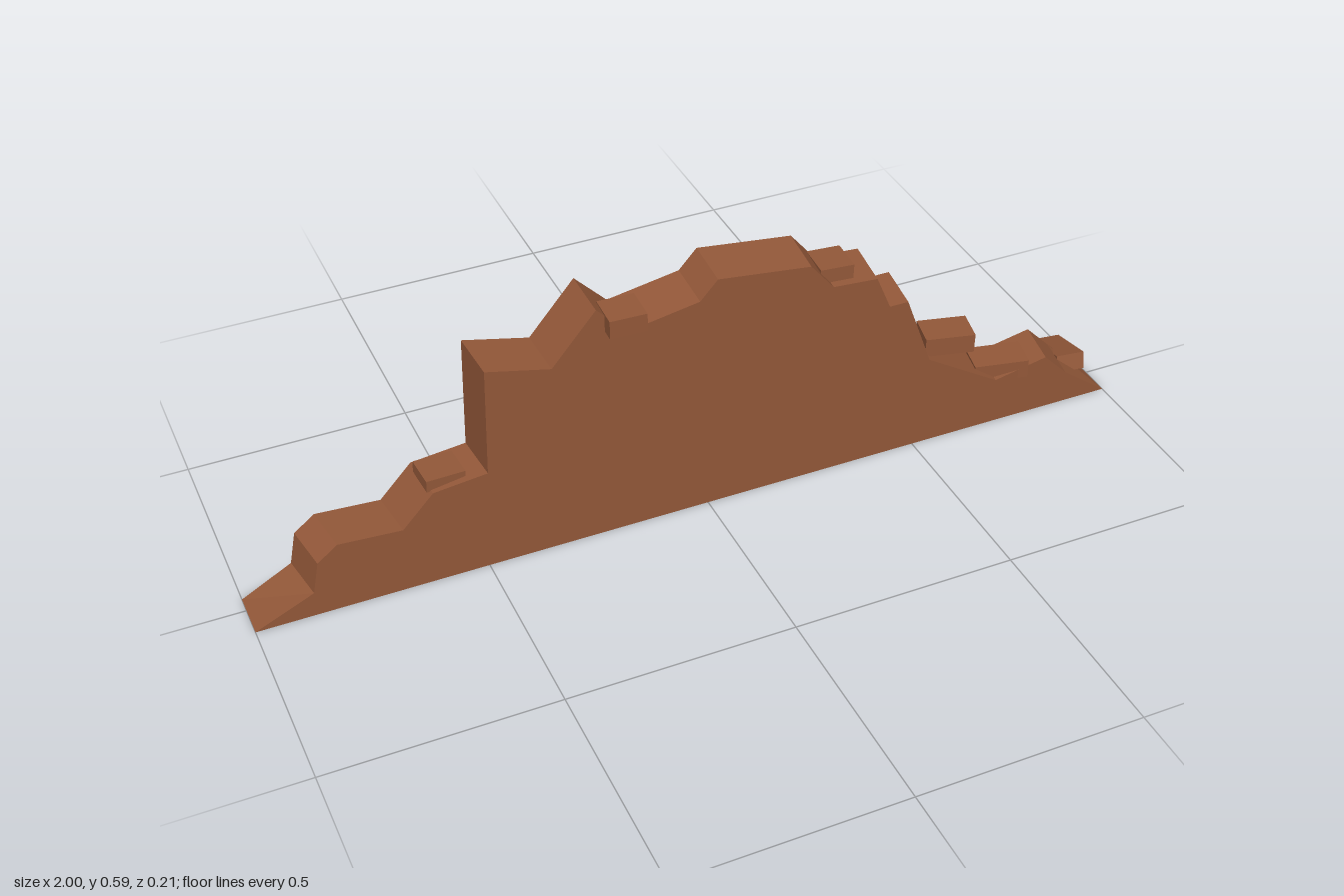
import * as THREE from 'three';

export function createModel() {
  const group = new THREE.Group();
  const clay = new THREE.MeshStandardMaterial({ color: 0x935839 });
  clay.name = 'clay brown';

  // Ragged outline of the broken wall, at its back face
  const outline = [
    [-1, 0], [-0.89, 0.06], [-0.875, 0.135], [-0.83, 0.17], [-0.69, 0.16], [-0.62, 0.235],
    [-0.50, 0.248], [-0.493, 0.505], [-0.35, 0.47], [-0.25, 0.587], [-0.18, 0.515],
    [-0.02, 0.543], [0.02, 0.587], [0.235, 0.56], [0.29, 0.493], [0.395, 0.485],
    [0.43, 0.403], [0.475, 0.403], [0.54, 0.228], [0.72, 0.117], [0.85, 0.143],
    [0.91, 0.082], [1, 0],
  ];
  const shape = new THREE.Shape(outline.map(([x, y]) => new THREE.Vector2(x, y)));
  const wallGeo = new THREE.ExtrudeGeometry(shape, { depth: 0.107, bevelEnabled: false });
  wallGeo.translate(0, 0, -0.037);

  // The front outline is slightly smaller, so the broken edge slopes forward
  const pos = wallGeo.attributes.position;
  for (let i = 0; i < pos.count; i++) {
    if (pos.getZ(i) > 0 && pos.getY(i) > 0.001) {
      pos.setXY(i, pos.getX(i) * 0.98, pos.getY(i) * 0.98);
    }
  }
  wallGeo.computeVertexNormals();
  const wall = new THREE.Mesh(wallGeo, clay);
  wall.name = 'brokenWall';
  group.add(wall);

  // Loose bricks: size, centre, rotation
  const bricks = [
    [[0.085, 0.027, 0.075], [-0.577, 0.24, 0.02], [0, 0.06, -0.03]],
    [[0.08, 0.042, 0.078], [-0.187, 0.54, 0.063], [0, -0.04, 0]],
    [[0.075, 0.033, 0.078], [0.3, 0.504, 0.019], [0, -0.06, -0.03]],
    [[0.112, 0.045, 0.075], [0.592, 0.239, 0.025], [0, -0.21, -0.02]],
    [[0.125, 0.044, 0.075], [0.732, 0.126, 0.025], [0, -0.21, 0]],
    [[0.068, 0.04, 0.127], [0.938, 0.051, -0.033], [-0.28, -0.09, -0.05]],
  ];
  bricks.forEach(([size, centre, turn], i) => {
    const brick = new THREE.Mesh(new THREE.BoxGeometry(...size), clay);
    brick.name = 'looseBrick' + (i + 1);
    brick.position.set(...centre);
    brick.rotation.set(...turn);
    group.add(brick);
  });

  return group;
}
